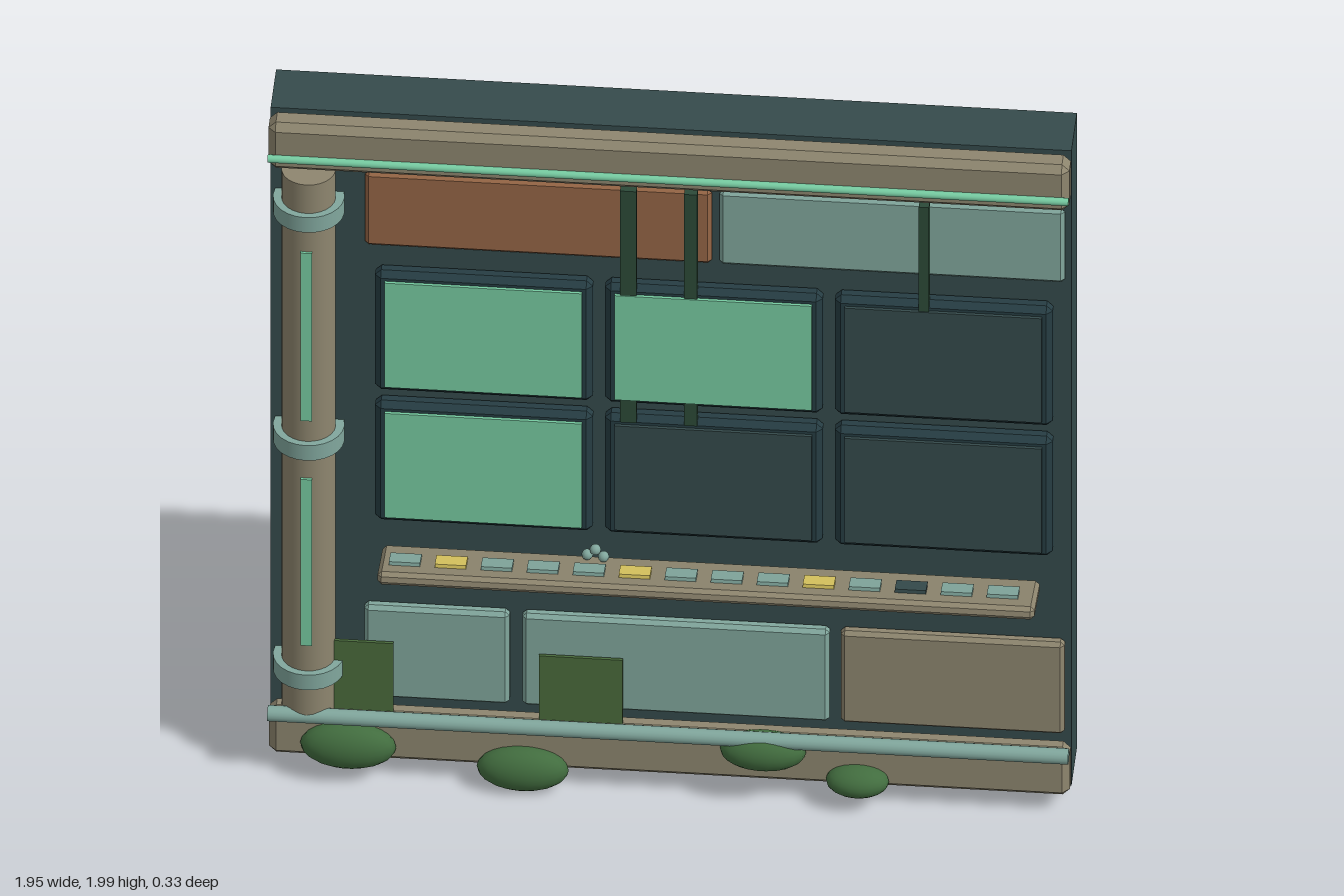
import * as THREE from 'three';
import { ConvexGeometry } from 'three/addons/geometries/ConvexGeometry.js';

const mat = (name, color) => {
  const m = new THREE.MeshStandardMaterial({ color });
  m.name = name;
  return m;
};

// Box with chamfered edges, as the hull of three points per corner
function chamferBox(w, h, d, b) {
  const pts = [];
  for (const i of [-1, 1]) for (const j of [-1, 1]) for (const k of [-1, 1]) {
    const x = w / 2, y = h / 2, z = d / 2;
    pts.push(new THREE.Vector3(i * x, j * (y - b), k * (z - b)));
    pts.push(new THREE.Vector3(i * (x - b), j * y, k * (z - b)));
    pts.push(new THREE.Vector3(i * (x - b), j * (y - b), k * z));
  }
  return new ConvexGeometry(pts);
}

export function createModel() {
  const slate = mat('slate', 0x354b4c);
  const frameDark = mat('frame dark', 0x263d43);
  const stone = mat('stone', 0x8e866f);
  const teal = mat('pale teal', 0x81a79d);
  const rust = mat('rust', 0x966646);
  const mint = mat('glowing mint', 0x77cca2);
  const moss = mat('moss', 0x4a6b3c);
  const leaf = mat('leaf', 0x426d3f);
  const cable = mat('cable green', 0x2c4a38);
  const yellow = mat('yellow', 0xd8c45e);

  const model = new THREE.Group();
  const add = (name, geo, material, x, y, z, parent = model) => {
    const mesh = new THREE.Mesh(geo, material);
    mesh.name = name;
    mesh.position.set(x, y, z);
    parent.add(mesh);
    return mesh;
  };
  // Box given by its limits; a chamfer of 0 leaves the edges sharp
  const block = (name, material, x0, x1, y0, y1, z0, z1, b = 0) => {
    const s = [x1 - x0, y1 - y0, z1 - z0];
    const geo = b ? chamferBox(...s, b) : new THREE.BoxGeometry(...s);
    return add(name, geo, material, (x0 + x1) / 2, (y0 + y1) / 2, (z0 + z1) / 2);
  };
  const rod = (name, material, r, length, y, z) => {
    const geo = new THREE.CylinderGeometry(r, r, length, 16).rotateZ(Math.PI / 2);
    return add(name, geo, material, 0, y, z);
  };

  // Wall slab with head and base beams
  block('wallSlab', slate, -0.975, 0.975, 0.05, 2, -0.165, -0.015);
  block('headBeam', stone, -0.975, 0.975, 1.86, 2, -0.015, 0.06, 0.018);
  block('baseBeam', stone, -0.975, 0.975, 0.055, 0.2, -0.015, 0.045, 0.018);
  rod('headLight', mint, 0.01, 1.95, 1.905, 0.066);
  rod('basePipe', teal, 0.02, 1.95, 0.2, 0.063);

  // Column with bands and light strips
  const cx = -0.88;
  add('column', new THREE.CylinderGeometry(0.066, 0.066, 1.64, 24), stone, cx, 1.02, 0.013);
  for (const y of [0.325, 1.03, 1.73])
    add('columnBand', new THREE.CylinderGeometry(0.087, 0.087, 0.046, 24), teal, cx, y, 0.009);
  for (const [y0, y1] of [[0.43, 0.94], [1.12, 1.635]])
    block('columnLight', mint, cx - 0.014, cx + 0.014, y0, y1, 0.073, 0.085);

  // Cladding panels above and below the screens
  const panels = [
    [rust, -0.745, 0.1, 1.6, 1.825, 0.0],
    [teal, 0.118, 0.96, 1.6, 1.825, 0.0],
    [teal, -0.745, -0.392, 0.225, 0.505, 0.015],
    [teal, -0.36, 0.388, 0.225, 0.505, 0.015],
    [stone, 0.415, 0.96, 0.225, 0.505, 0.015],
  ];
  for (const [m, x0, x1, y0, y1, z] of panels)
    block('claddingPanel', m, x0, x1, y0, y1, -0.02, z, 0.01);

  // Two rows of three screens, three of them lit
  [[1.36, [1, 1, 0]], [0.96, [1, 0, 0]]].forEach(([y, lit]) => {
    [-0.453, 0.107, 0.667].forEach((x, i) => {
      block('screenFrame', frameDark, x - 0.265, x + 0.265, y - 0.183, y + 0.183, -0.02, 0.03, 0.015);
      block('screen', lit[i] ? mint : slate, x - 0.24, x + 0.24, y - 0.16, y + 0.16, 0.029, 0.038);
    });
  });

  // Hanging cables
  for (const [x, w, bottom] of [[-0.1, 0.04, 1.13], [0.052, 0.032, 1.13], [0.62, 0.025, 1.52]])
    block('cable', cable, x - w / 2, x + w / 2, bottom, 1.84, 0.012, 0.035);

  // Tilted control shelf with a row of keys
  const shelf = new THREE.Group();
  shelf.name = 'controlShelf';
  shelf.position.set(0.1, 0.69, 0.083);
  shelf.rotation.x = -0.2;
  model.add(shelf);
  add('shelfBoard', chamferBox(1.6, 0.035, 0.162, 0.01), stone, 0, 0, 0, shelf);
  const keyGeo = new THREE.BoxGeometry(0.076, 0.012, 0.05);
  for (let i = 0; i < 14; i++) {
    const m = i === 11 ? slate : i % 4 === 1 && i < 10 ? yellow : teal;
    add('key', keyGeo, m, -0.738 + i * 0.112, 0.021, 0.01, shelf);
  }
  for (const [x, y, z] of [[-0.18, 0.735, 0.035], [-0.2, 0.715, 0.03], [-0.16, 0.715, 0.035]])
    add('knob', new THREE.SphereGeometry(0.014, 10, 8), teal, x, y, z);

  // Moss sheets and leafy clumps along the base
  block('mossSheet', moss, -0.82, -0.672, 0.2, 0.408, 0.022, 0.03);
  block('mossSheet', moss, -0.318, -0.114, 0.2, 0.395, 0.022, 0.03);
  const clumps = [
    [-0.78, 0.11, 0.117, 0.063],
    [-0.355, 0.068, 0.112, 0.06],
    [0.23, 0.162, 0.105, 0.052],
    [0.46, 0.086, 0.077, 0.041],
  ];
  for (const [x, y, rx, ry] of clumps)
    add('leafClump', new THREE.SphereGeometry(1, 18, 12), leaf, x, y, 0.055).scale.set(rx, ry, 0.05);

  model.position.y = -0.004;
  const root = new THREE.Group();
  root.name = 'controlWall';
  root.add(model);
  return root;
}
